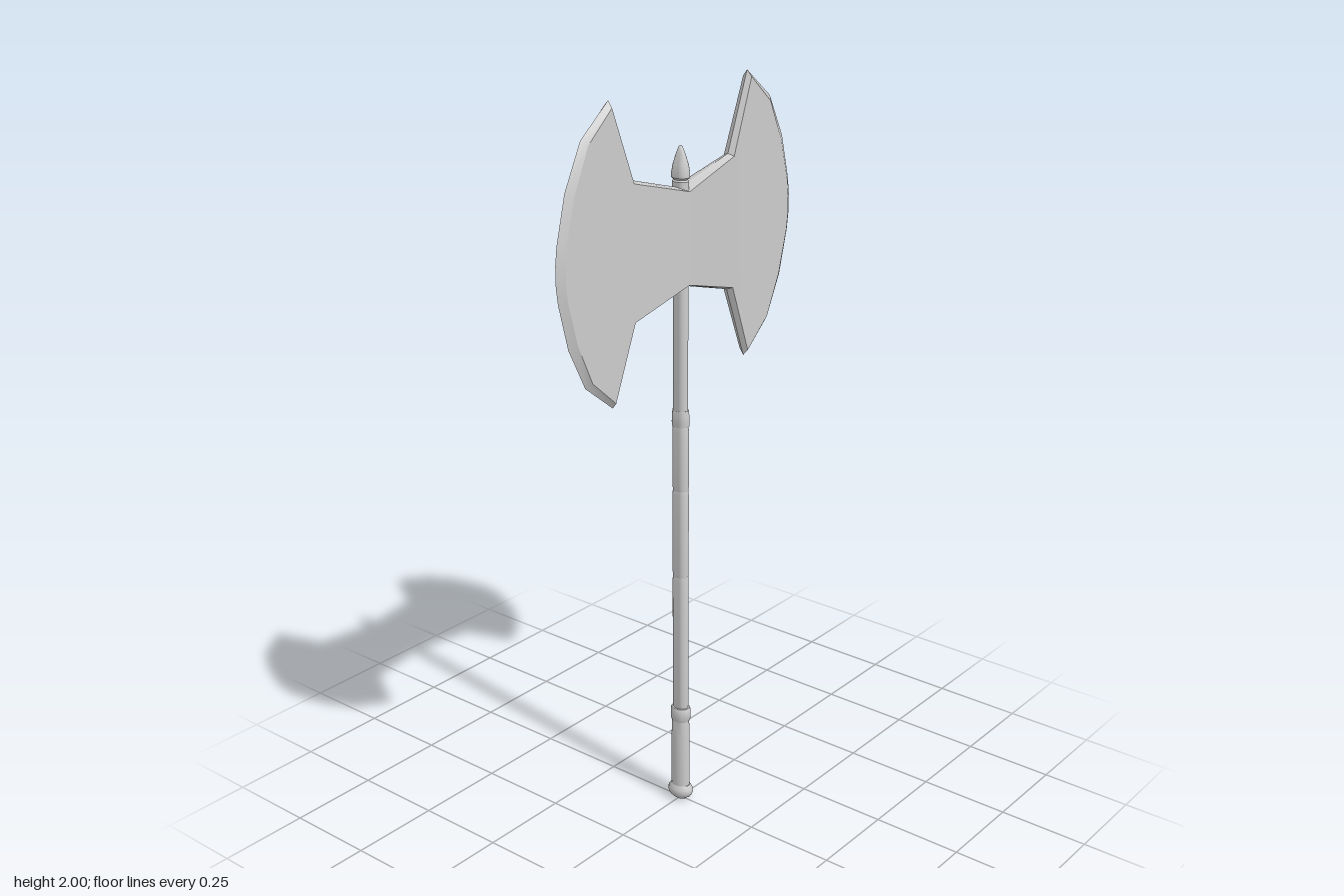
import * as THREE from 'three';
import { toCreasedNormals } from 'three/addons/utils/BufferGeometryUtils.js';

const grey = new THREE.MeshStandardMaterial({ color: 0xcccccc });

function addMesh(parent, name, geometry) {
  const mesh = new THREE.Mesh(geometry, grey);
  mesh.name = name;
  parent.add(mesh);
  return mesh;
}

// Turned part with an oval section, a little wider along x than along z
function turned(profile, widen) {
  const points = profile.map(([r, y]) => new THREE.Vector2(r, y));
  const geometry = new THREE.LatheGeometry(points, 16).scale(widen, 1, 1);
  return toCreasedNormals(geometry, 0.7);
}

// One blade, swept outward from the shaft: a flat cheek with a bevelled rim.
// Each section: rim z, rim half height, cheek z, cheek half height, half thickness
function bladeGeometry() {
  const sections = [
    [0, 0.125, 0, 0.119, 0.029],
    [0.19, 0.178, 0.195, 0.172, 0.0165],
    [0.266, 0.378, 0.268, 0.362, 0.0135],
    [0.365, 0.3, 0.352, 0.288, 0.013],
    [0.422, 0.188, 0.402, 0.18, 0.013],
    [0.453, 0.07, 0.433, 0.066, 0.013],
    [0.459, 0.025, 0.438, 0.024, 0.013],
  ];
  const positions = [];
  const index = [];
  for (const [z, h, zc, hc, t] of sections) {
    positions.push(0, h, z, -t, hc, zc, -t, -hc, zc, 0, -h, z, t, -hc, zc, t, hc, zc);
  }
  const quad = (a, b, c, d) => index.push(a, b, c, a, c, d);
  for (let s = 0; s < sections.length - 1; s++) {
    for (let k = 0; k < 6; k++) {
      const a = s * 6 + k;
      const b = s * 6 + (k + 1) % 6;
      quad(a, b, b + 6, a + 6);
    }
  }
  // Closing bevels at the cutting edge
  const e = (sections.length - 1) * 6;
  quad(e, e + 1, e + 2, e + 3);
  quad(e, e + 3, e + 4, e + 5);
  const geometry = new THREE.BufferGeometry();
  geometry.setAttribute('position', new THREE.Float32BufferAttribute(positions, 3));
  geometry.setIndex(index);
  return toCreasedNormals(geometry, 0.45).translate(0, 1.622, 0);
}

export function createModel() {
  const axe = new THREE.Group();
  axe.name = 'doubleAxe';

  // Rounded knob under the grip
  addMesh(axe, 'pommel', turned([
    [0, 0], [0.016, 0.003], [0.026, 0.014], [0.029, 0.025],
    [0.028, 0.034], [0.022, 0.046], [0, 0.046],
  ], 1.32));

  // Thick lower grip with its collar
  addMesh(axe, 'grip', turned([
    [0, 0.04], [0.0225, 0.046], [0.0225, 0.2], [0.021, 0.25], [0, 0.25],
  ], 1.22));
  addMesh(axe, 'gripCollar', turned([
    [0, 0.248], [0.022, 0.25], [0.0245, 0.257], [0.0245, 0.284],
    [0.022, 0.291], [0, 0.293],
  ], 1.2));

  // Wrapped lower shaft in three lengths, parted by shallow grooves
  const joints = [0.29, 0.69, 0.94, 1.12];
  for (let i = 0; i < joints.length - 1; i++) {
    const [low, high] = [joints[i], joints[i + 1]];
    addMesh(axe, 'shaftWrap' + (i + 1), turned([
      [0, low], [0.0175, low], [0.0185, low + 0.012],
      [0.0185, high - 0.012], [0.0175, high], [0, high],
    ], 1.28));
  }

  // Collar above the wrap, and the bare shaft up through the head
  addMesh(axe, 'shaftCollar', turned([
    [0, 1.12], [0.019, 1.12], [0.02, 1.13], [0.0195, 1.15],
    [0.018, 1.165], [0, 1.165],
  ], 1.28));
  addMesh(axe, 'upperShaft', turned([
    [0, 1.16], [0.0175, 1.16], [0.0175, 1.752], [0, 1.752],
  ], 1.2));

  // Finial spike on top of the head
  addMesh(axe, 'spike', turned([
    [0.019, 1.74], [0.019, 1.764], [0.0155, 1.768], [0.021, 1.774],
    [0.021, 1.785], [0.018, 1.805], [0.01, 1.834], [0.004, 1.85], [0, 1.853],
  ], 1.2));

  // Two matching blades
  const blade = bladeGeometry();
  addMesh(axe, 'frontBlade', blade);
  addMesh(axe, 'backBlade', blade).rotation.y = Math.PI;

  return axe;
}
